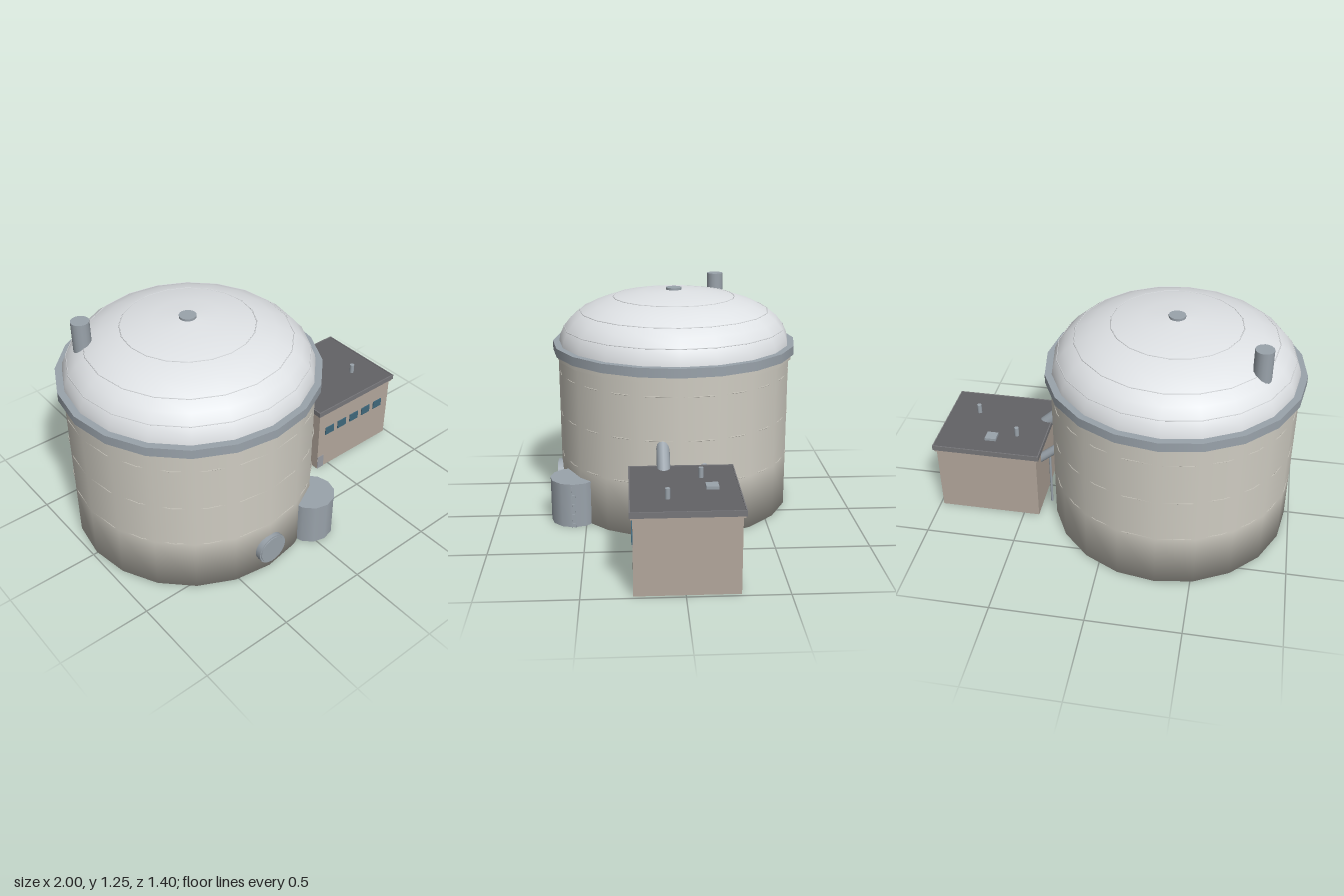
import * as THREE from 'three';

const mat = (color) => new THREE.MeshStandardMaterial({ color });
const WALL = mat(0xcfccc2), DOME = mat(0xdfe2e5), STEEL = mat(0x9aa3ab), TAN = mat(0xb3a79c);
const ROOF = mat(0x626266), TRIM = mat(0x77777a), GLASS = mat(0x40687c), DOOR = mat(0x9a9ca2);

const TANK_R = 0.663, SIDES = 20;

function add(parent, name, geometry, material, x = 0, y = 0, z = 0) {
  const mesh = new THREE.Mesh(geometry, material);
  mesh.name = name;
  mesh.position.set(x, y, z);
  parent.add(mesh);
  return mesh;
}

const lathe = (points, sides) =>
  new THREE.LatheGeometry(points.map(([r, y]) => new THREE.Vector2(r, y)), sides);

// Box and upright cylinder placed by their base height
const box = (parent, name, m, w, h, d, x, y, z) =>
  add(parent, name, new THREE.BoxGeometry(w, h, d), m, x, y + h / 2, z);
const post = (parent, name, m, r, h, x, y, z, sides = 12) =>
  add(parent, name, new THREE.CylinderGeometry(r, r, h, sides), m, x, y + h / 2, z);

// Straight pipe between two points
function pipe(parent, name, m, r, a, b) {
  const from = new THREE.Vector3(...a), to = new THREE.Vector3(...b);
  const dir = to.clone().sub(from);
  const mesh = add(parent, name, new THREE.CylinderGeometry(r, r, dir.length(), 12), m);
  mesh.position.copy(from).add(to).multiplyScalar(0.5);
  mesh.quaternion.setFromUnitVectors(new THREE.Vector3(0, 1, 0), dir.normalize());
}

function buildMainTank() {
  const tank = new THREE.Group();
  tank.name = 'mainTank';
  tank.position.set(-0.312, 0, -0.008);

  // Shell, with its floor
  add(tank, 'tankWall', lathe([[0, 0], [TANK_R, 0], [TANK_R, 0.3], [TANK_R, 0.6], [TANK_R, 0.93]], SIDES), WALL);
  for (const y of [0.303, 0.545, 0.785]) {
    const seam = add(tank, 'wallSeam', new THREE.TorusGeometry(TANK_R - 0.003, 0.003, 4, 24), WALL, 0, y);
    seam.rotation.x = Math.PI / 2;
  }

  // Rim bands under the dome
  add(tank, 'lowerRim', new THREE.CylinderGeometry(0.677, 0.677, 0.03, SIDES), WALL, 0, 0.883);
  add(tank, 'upperRim', new THREE.CylinderGeometry(0.692, 0.692, 0.05, SIDES), STEEL, 0, 0.92);

  // Domed roof with its weld lines
  const profile = [[0.656, 0.94], [0.65, 0.98], [0.627, 1.03], [0.587, 1.08], [0.535, 1.12],
    [0.45, 1.162], [0.345, 1.196], [0.18, 1.225], [0, 1.235]];
  add(tank, 'dome', lathe(profile, SIDES), DOME);
  for (const i of [2, 4, 6]) {
    const [r, y] = profile[i];
    const seam = add(tank, 'domeSeam', new THREE.TorusGeometry(r, 0.003, 4, SIDES), DOME, 0, y);
    seam.rotation.x = Math.PI / 2;
  }
  post(tank, 'domeCap', STEEL, 0.045, 0.035, 0, 1.21, 0, 16);
  post(tank, 'ventStack', STEEL, 0.048, 0.195, -0.455, 1.06, -0.275, 16);

  // Round manway on the front
  for (const [name, r, z] of [['manway', 0.087, 0.658], ['manwayCover', 0.078, 0.663]]) {
    const disc = add(tank, name, new THREE.CylinderGeometry(r, r, 0.05, 20), STEEL, 0, 0.137, z);
    disc.rotation.x = Math.PI / 2;
  }
  return tank;
}

function buildSideTank() {
  const tank = new THREE.Group();
  tank.name = 'sideTank';
  tank.position.set(0.05, 0, 0.567);
  post(tank, 'sideTankBody', STEEL, 0.13, 0.243, 0, 0, 0);
  post(tank, 'sideTankLid', STEEL, 0.132, 0.01, 0, 0.241, 0);
  // Ladder on its left side
  for (const s of [-1, 1]) box(tank, 'ladderRail', STEEL, 0.005, 0.24, 0.004, 0.135, 0, s * 0.009);
  for (let i = 0; i < 8; i++) box(tank, 'ladderRung', STEEL, 0.004, 0.004, 0.018, 0.135, 0.02 + i * 0.028, 0);
  return tank;
}

function buildControlHouse() {
  const house = new THREE.Group();
  house.name = 'controlHouse';
  box(house, 'houseWalls', TAN, 0.57, 0.395, 0.515, 0.697, 0, -0.008);
  box(house, 'roofTrim', TAN, 0.59, 0.012, 0.535, 0.697, 0.393, -0.008);
  box(house, 'roofSlab', ROOF, 0.6, 0.027, 0.54, 0.697, 0.403, -0.008);
  // Low parapet edge round the roof
  for (const s of [-1, 1]) {
    box(house, 'parapet', TRIM, 0.606, 0.03, 0.006, 0.697, 0.404, -0.008 + s * 0.27);
    box(house, 'parapet', TRIM, 0.006, 0.03, 0.534, 0.697 + s * 0.3, 0.404, -0.008);
  }
  for (let i = 0; i < 5; i++) box(house, 'window', GLASS, 0.066, 0.05, 0.01, 0.495 + i * 0.099, 0.237, 0.25);
  box(house, 'door', DOOR, 0.048, 0.085, 0.006, 0.437, 0, 0.249);
  // Roof fittings
  post(house, 'roofVent', STEEL, 0.013, 0.055, 0.56, 0.428, -0.1);
  post(house, 'roofVent', STEEL, 0.013, 0.055, 0.83, 0.428, 0.08);
  box(house, 'roofHatch', STEEL, 0.063, 0.02, 0.063, 0.695, 0.425, -0.145);
  return house;
}

export function createModel() {
  const model = new THREE.Group();
  model.name = 'storageTankPlant';
  model.add(buildMainTank(), buildSideTank(), buildControlHouse());

  // Pipes from the tank to the house, each with a support post
  pipe(model, 'upperPipe', STEEL, 0.035, [0.31, 0.525, 0.082], [0.45, 0.395, 0.082]);
  pipe(model, 'lowerPipe', STEEL, 0.025, [0.31, 0.405, -0.133], [0.43, 0.305, -0.133]);
  post(model, 'pipeSupport', STEEL, 0.007, 0.45, 0.365, 0, 0.082, 8);
  post(model, 'pipeSupport', STEEL, 0.007, 0.34, 0.365, 0, -0.133, 8);
  return model;
}
